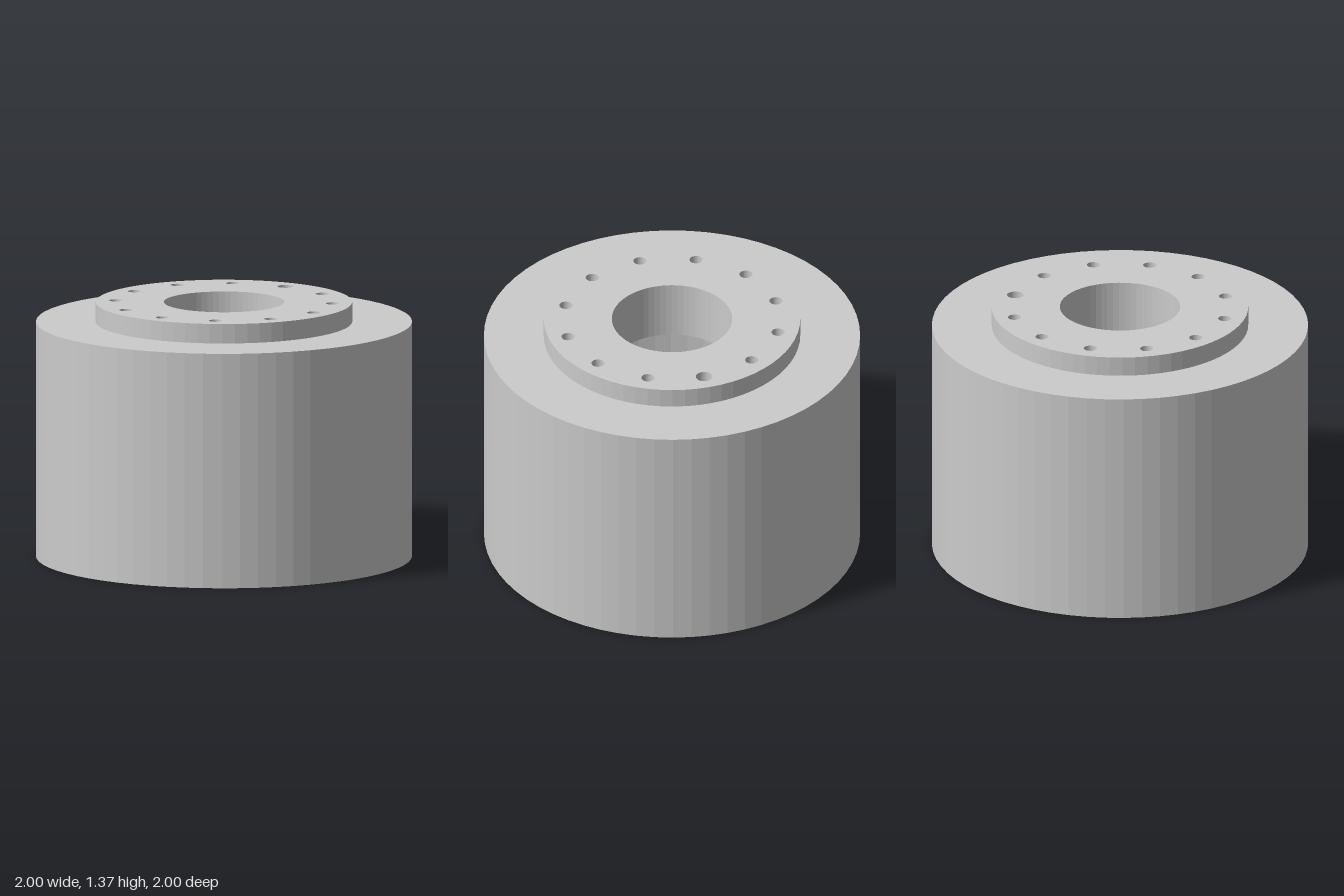
import * as THREE from 'three';

const SIDES = 64;
const BODY_TOP = 1.265, TOP = 1.37, BORE = 0.32;

export function createModel() {
  const group = new THREE.Group();
  const material = new THREE.MeshStandardMaterial({ color: 0xcccccc, flatShading: true });
  const add = (name, geometry) => {
    const mesh = new THREE.Mesh(geometry, material);
    mesh.name = name;
    group.add(mesh);
    return mesh;
  };
  const lathe = (points) =>
    new THREE.LatheGeometry(points.map(([r, y]) => new THREE.Vector2(r, y)), SIDES);

  // Hollow drum: bore, ceiling, inner wall with a shallow step, rim, outer wall, shoulder
  add('drum', lathe([
    [BORE, BODY_TOP], [BORE, 1.055], [0.885, 1.055], [0.885, 0.21], [0.895, 0.21],
    [0.895, 0], [1, 0], [1, BODY_TOP], [0.68, BODY_TOP],
  ]));

  // Raised flange with the centre bore and a circle of twelve drilled holes
  const circle = (path, x, y, r) => path.absarc(x, y, r, 0, Math.PI * 2);
  const outline = circle(new THREE.Shape(), 0, 0, 0.682);
  outline.holes.push(circle(new THREE.Path(), 0, 0, BORE));
  for (let i = 0; i < 12; i++) {
    const angle = (i / 12) * Math.PI * 2;
    const x = 0.578 * Math.cos(angle), y = 0.578 * Math.sin(angle);
    const r = i === 3 ? 0.044 : 0.035; // the rear hole is larger
    outline.holes.push(circle(new THREE.Path(), x, y, r));

    // Conical drill bottom
    add('drillHoleBottom', lathe([[r, 0], [0, -0.6 * r]])).position.set(x, BODY_TOP, -y);
  }
  const flange = new THREE.ExtrudeGeometry(outline, {
    depth: TOP - BODY_TOP, bevelEnabled: false, curveSegments: SIDES / 2,
  });
  flange.rotateX(-Math.PI / 2);
  add('flange', flange).position.y = BODY_TOP;

  return group;
}
